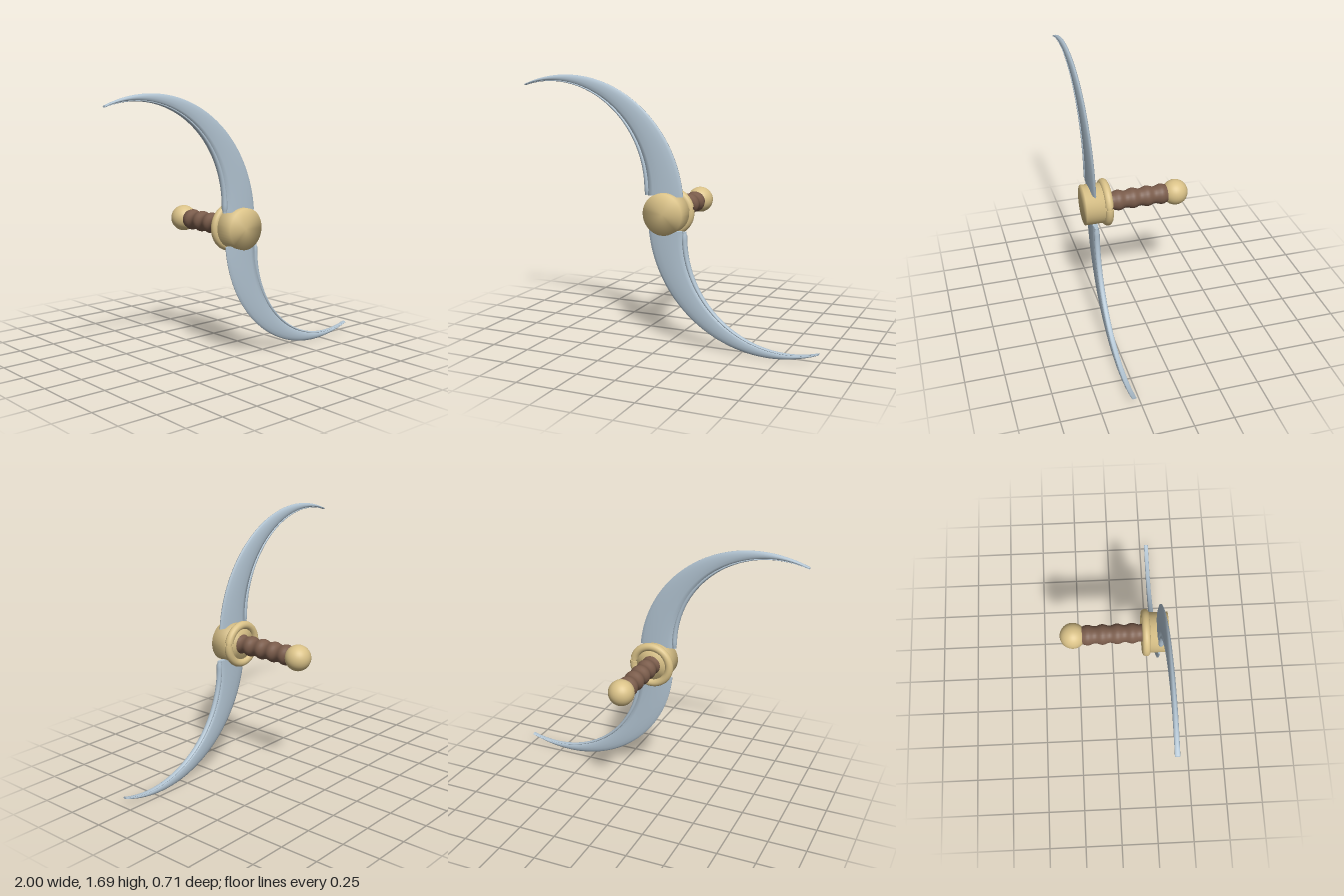
import * as THREE from 'three';
import { mergeVertices } from 'three/addons/utils/BufferGeometryUtils.js';

const CENTER_Y = 0.8475;
const BLADE_Z = 0.296;
const lerp = THREE.MathUtils.lerp;
const rad = THREE.MathUtils.degToRad;

// Closed skin over rings of points, with flat caps at both ends
function loft(rings) {
  const n = rings[0].length;
  const pos = rings.flat().flatMap((p) => [p.x, p.y, p.z]);
  const index = [];
  for (let i = 0; i < rings.length - 1; i++) {
    for (let j = 0; j < n; j++) {
      const a = i * n + j, b = i * n + (j + 1) % n;
      index.push(a, b, a + n, b, b + n, a + n);
    }
  }
  const cap = (ring, flip) => {
    const start = pos.length / 3;
    const mid = new THREE.Vector3();
    ring.forEach((p) => { pos.push(p.x, p.y, p.z); mid.addScaledVector(p, 1 / n); });
    pos.push(mid.x, mid.y, mid.z);
    for (let j = 0; j < n; j++) {
      const a = start + j, b = start + (j + 1) % n;
      index.push(...(flip ? [b, a, start + n] : [a, b, start + n]));
    }
  };
  cap(rings[0], true);
  cap(rings[rings.length - 1], false);
  const g = new THREE.BufferGeometry();
  g.setAttribute('position', new THREE.Float32BufferAttribute(pos, 3));
  g.setIndex(index);
  g.computeVertexNormals();
  return g;
}

// Inner and outer edge of the upper blade at t (0 = root, 1 = tip)
function edges(t) {
  const ao = rad(lerp(5, 112.4, t)), ai = rad(lerp(-3, 107.5, t));
  const ri = 0.655 + 0.008 * t;
  return {
    outer: new THREE.Vector3(-0.69 + 0.81 * Math.cos(ao), 0.885 + 0.81 * Math.sin(ao) - CENTER_Y, BLADE_Z),
    inner: new THREE.Vector3(-0.8 + ri * Math.cos(ai), 0.99 + ri * Math.sin(ai) - CENTER_Y, BLADE_Z),
    half: lerp(0.021, 0.015, t),
    rail: lerp(0.036, 0.005, t),
  };
}

// Half thickness across the blade, from the rail groove to the cutting edge
const LENS = [[0, 0.55], [0.15, 0.82], [0.4, 1], [0.7, 0.85], [0.9, 0.5], [1, 0.15]];

function bladeRing(t) {
  const { outer, inner, half, rail } = edges(t);
  const root = inner.clone().lerp(outer, 0.8 * rail / inner.distanceTo(outer));
  const side = (sign) => LENS.map(([u, h]) => {
    const p = root.clone().lerp(outer, u);
    p.z += sign * h * half;
    return p;
  });
  return [...side(1), ...side(-1).reverse()];
}

function railRing(t) {
  const { outer, inner, half, rail } = edges(t);
  const dir = outer.clone().sub(inner).normalize();
  const end = t < 0.012 ? 0.7 : 1; // slightly rounded root
  return Array.from({ length: 14 }, (_, j) => {
    const a = (j / 14) * Math.PI * 2;
    const p = inner.clone().addScaledVector(dir, rail / 2 * (1 - end * Math.cos(a)));
    p.z += Math.sin(a) * half * 0.9 * end;
    return p;
  });
}

export function createModel() {
  const steel = new THREE.MeshStandardMaterial({ color: 0xb2c4d2 });
  steel.name = 'steel';
  const gold = new THREE.MeshStandardMaterial({ color: 0xdac288 });
  gold.name = 'gold';
  const leather = new THREE.MeshStandardMaterial({ color: 0x7a5c4b });
  leather.name = 'leather';

  const model = new THREE.Group();
  model.name = 'doubleBlade';
  const body = new THREE.Group();
  body.name = 'weapon';
  body.position.y = CENTER_Y;
  model.add(body);
  const add = (parent, name, geometry, material, z = 0) => {
    const mesh = new THREE.Mesh(geometry, material);
    mesh.name = name;
    mesh.position.z = z;
    parent.add(mesh);
    return mesh;
  };

  // Two curved blades, the lower one turned half a circle
  const steps = Array.from({ length: 49 }, (_, i) => i / 48);
  const bladeGeo = loft(steps.map(bladeRing));
  const railGeo = loft([0, 0.01, ...steps.slice(1)].map(railRing));
  ['upperBlade', 'lowerBlade'].forEach((name, i) => {
    const blade = new THREE.Group();
    blade.name = name;
    blade.rotation.z = i * Math.PI;
    add(blade, 'bladeBody', bladeGeo, steel);
    add(blade, 'innerRail', railGeo, steel);
    body.add(blade);
  });

  // Hub drum, its rim shaded softly into the flat ends
  let hub = new THREE.CylinderGeometry(0.132, 0.132, 0.155, 40);
  hub.deleteAttribute('normal');
  hub.deleteAttribute('uv');
  hub = mergeVertices(hub);
  hub.computeVertexNormals();
  hub.rotateX(Math.PI / 2);
  add(body, 'hub', hub, gold, 0.2775);

  // Guard ring with a small notch on one side
  const gapStart = rad(6), gapEnd = rad(14);
  const ring = new THREE.TorusGeometry(0.128, 0.027, 16, 64, Math.PI * 2 - (gapEnd - gapStart));
  ring.rotateZ(gapEnd);
  add(body, 'guardRing', ring, gold, 0.208);
  for (const a of [gapStart, gapEnd]) {
    const end = new THREE.CircleGeometry(0.027, 16);
    end.rotateX(a === gapStart ? -Math.PI / 2 : Math.PI / 2);
    end.translate(0.128, 0, 0);
    end.rotateZ(a);
    add(body, 'ringEnd', end, gold, 0.208);
  }
  const notch = new THREE.TorusGeometry(0.128, 0.02, 12, 4, gapEnd - gapStart);
  notch.rotateZ(gapStart);
  add(body, 'ringNotch', notch, gold, 0.208);

  // Ribbed grip running backwards
  const profile = Array.from({ length: 49 }, (_, i) => {
    const z = lerp(-0.23, 0.21, i / 48);
    return new THREE.Vector2(0.062 + 0.006 * Math.cos((z - 0.12) / 0.097 * Math.PI * 2), z);
  });
  const grip = new THREE.LatheGeometry(profile, 28);
  grip.rotateX(Math.PI / 2);
  add(body, 'grip', grip, leather);

  // Ball pommel
  add(body, 'pommel', new THREE.SphereGeometry(0.085, 32, 20), gold, -0.268);

  return model;
}
